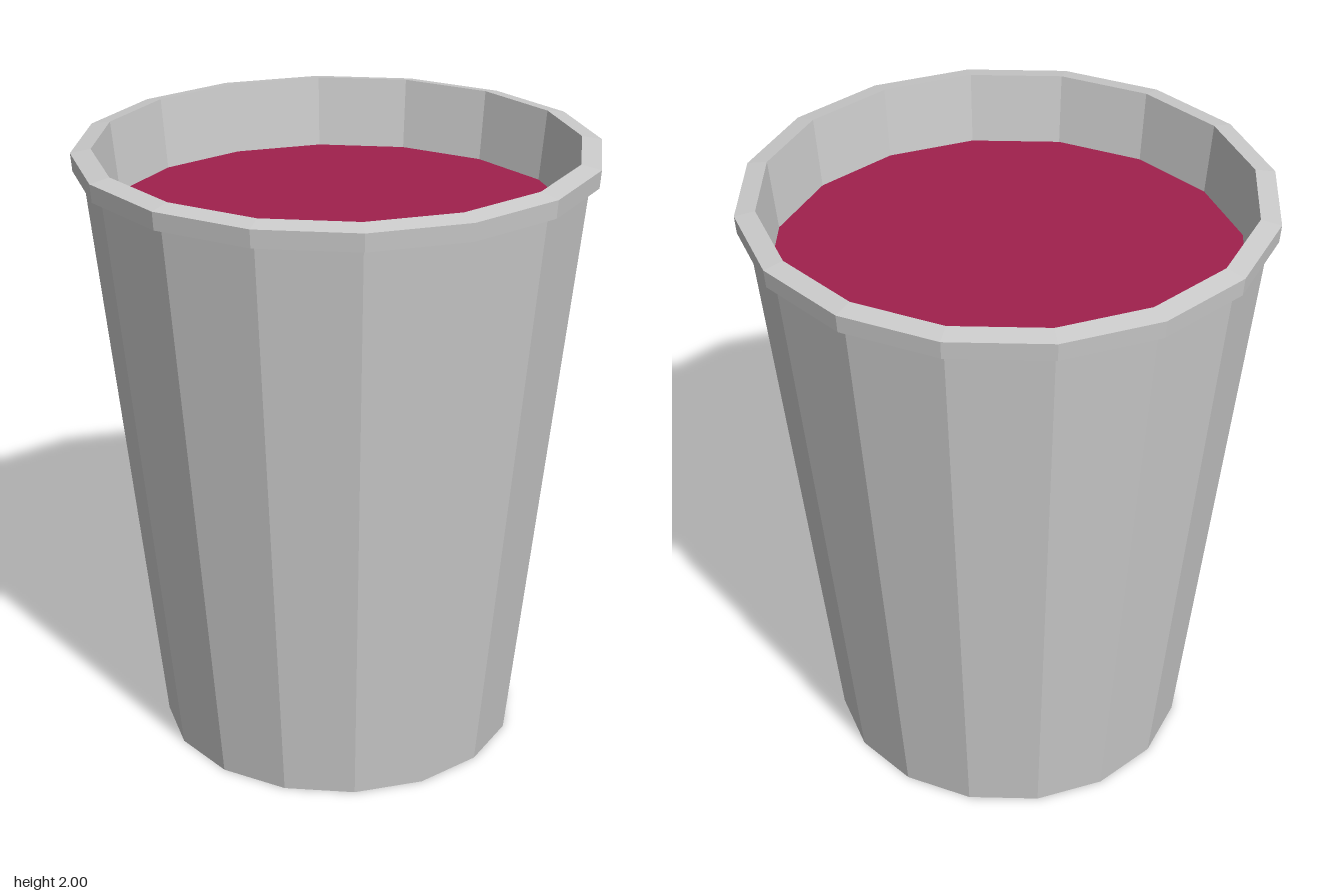
import * as THREE from 'three';

const SIDES = 16;

export function createModel() {
  const model = new THREE.Group();
  model.name = 'cupOfDrink';

  // Cup shell: base, tapered outside, lip, inner wall and inner floor in one profile
  const profile = [
    [0, 0], [0.585, 0], [0.795, 1.93],            // base and outer wall
    [0.825, 1.93], [0.83, 1.988], [0.766, 2],     // lip
    [0.555, 0.05], [0, 0.05],                     // inner wall and floor
  ].map(([r, y]) => new THREE.Vector2(r, y));
  const cup = new THREE.Mesh(
    new THREE.LatheGeometry(profile, SIDES),
    new THREE.MeshStandardMaterial({ color: 0xcccccc, flatShading: true })
  );
  cup.name = 'cup';
  model.add(cup);

  // Drink surface just below the lip
  const drink = new THREE.Mesh(
    new THREE.CircleGeometry(0.741, SIDES).rotateX(-Math.PI / 2),
    new THREE.MeshStandardMaterial({ color: 0xa0204d })
  );
  drink.name = 'drink';
  drink.position.y = 1.77;
  model.add(drink);

  return model;
}
